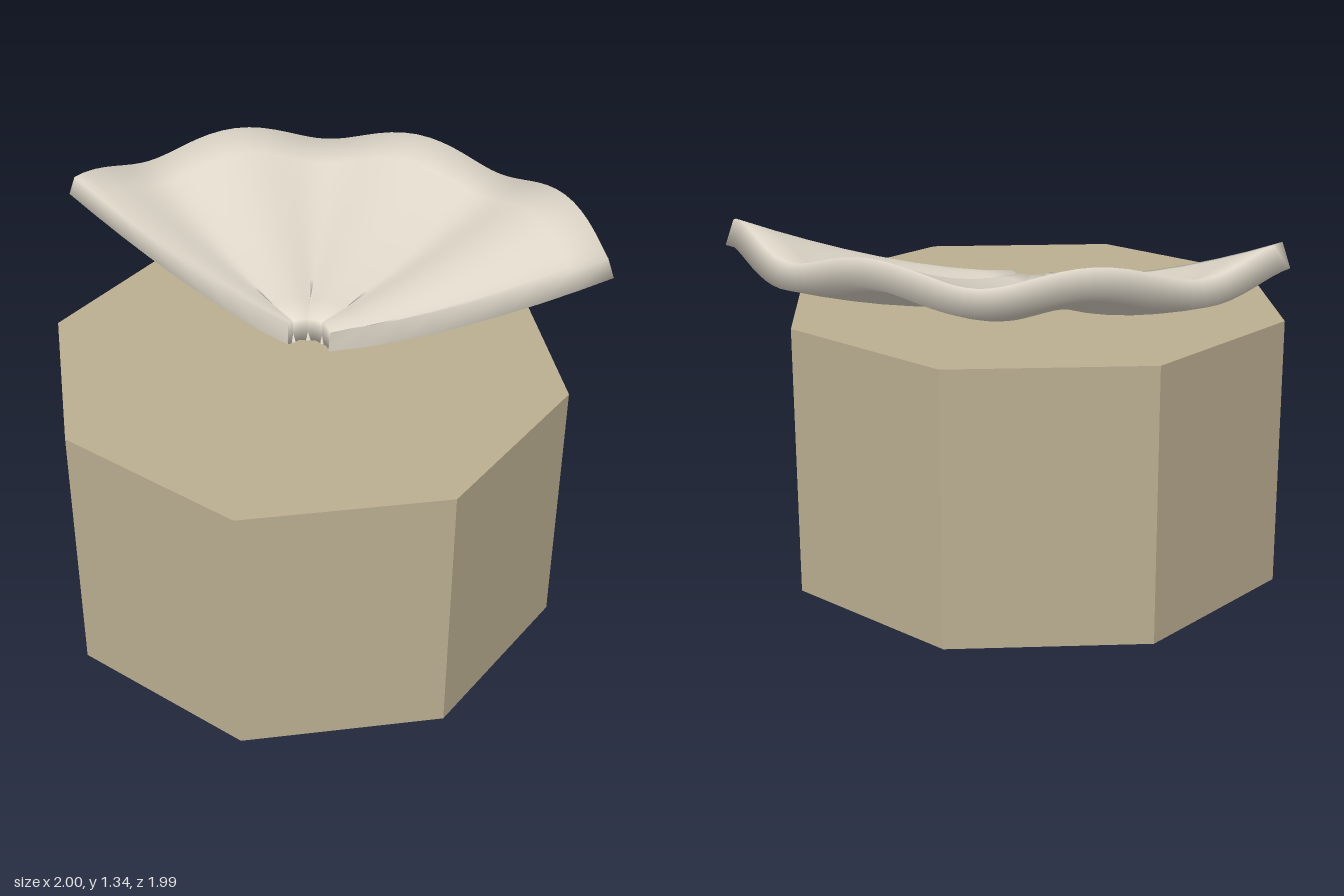
import * as THREE from 'three';

const stone = new THREE.MeshStandardMaterial({ color: 0xbbae91 });
stone.name = 'sandstone';
const pearl = new THREE.MeshStandardMaterial({ color: 0xddd6c8 });
pearl.name = 'pale shell';

const CX = 0.005, CZ = 0.08;
const INNER = 0.08, OUTER = 1.08, THICK = 0.087;

// Underside of the fan: u runs along the sweep, v from hinge to rim
function fanPoint(u, v) {
  const angle = THREE.MathUtils.degToRad(157.5 - 135 * u);
  const r = INNER + (OUTER - INNER) * v;
  const ripple = 0.033 * (r / OUTER) * Math.cos(u * 7 * Math.PI);
  const y = 0.985 + 0.237 * Math.pow(Math.max(v, 0), 1.6) + ripple;
  return new THREE.Vector3(CX + r * Math.cos(angle), y, CZ - r * Math.sin(angle));
}

function fanNormal(u, v) {
  const e = 0.001;
  const du = fanPoint(u + e, v).sub(fanPoint(u - e, v));
  const dv = fanPoint(u, v + e).sub(fanPoint(u, v - e));
  return du.cross(dv).normalize();
}

// Rippled slab made of closed radial cross-sections, with shared smooth normals
function fanGeometry(sweepSegs, radialSegs) {
  const ring = 2 * (radialSegs + 1);
  const positions = [], index = [];
  for (let i = 0; i <= sweepSegs; i++) {
    const u = i / sweepSegs;
    for (let k = 0; k < ring; k++) {
      const top = k > radialSegs;
      const v = (top ? ring - 1 - k : k) / radialSegs;
      const p = fanPoint(u, v);
      if (top) p.addScaledVector(fanNormal(u, v), THICK);
      positions.push(p.x, p.y, p.z);
    }
  }
  const quad = (a, b, c, d) => index.push(a, b, c, a, c, d);
  for (let i = 0; i < sweepSegs; i++) {
    for (let k = 0; k < ring; k++) {
      const n = (k + 1) % ring, a = i * ring, b = a + ring;
      quad(a + k, a + n, b + n, b + k);
    }
  }
  // End caps
  const last = sweepSegs * ring;
  for (let j = 0; j < radialSegs; j++) {
    const t = ring - 1 - j;
    quad(j, t, t - 1, j + 1);
    quad(last + j, last + j + 1, last + t - 1, last + t);
  }
  const g = new THREE.BufferGeometry();
  g.setAttribute('position', new THREE.Float32BufferAttribute(positions, 3));
  g.setIndex(index);
  g.computeVertexNormals();
  return g;
}

export function createModel() {
  const model = new THREE.Group();
  model.name = 'shellOnPedestal';

  // Eight-sided block
  const pedestalGeo = new THREE.CylinderGeometry(0.913, 0.913, 0.965, 8).toNonIndexed();
  pedestalGeo.computeVertexNormals();
  const pedestal = new THREE.Mesh(pedestalGeo, stone);
  pedestal.name = 'pedestal';
  pedestal.position.set(CX, 0.4825, CZ);
  model.add(pedestal);

  // Scalloped fan floating just above the block
  const fan = new THREE.Mesh(fanGeometry(56, 8), pearl);
  fan.name = 'shellFan';
  model.add(fan);

  return model;
}
